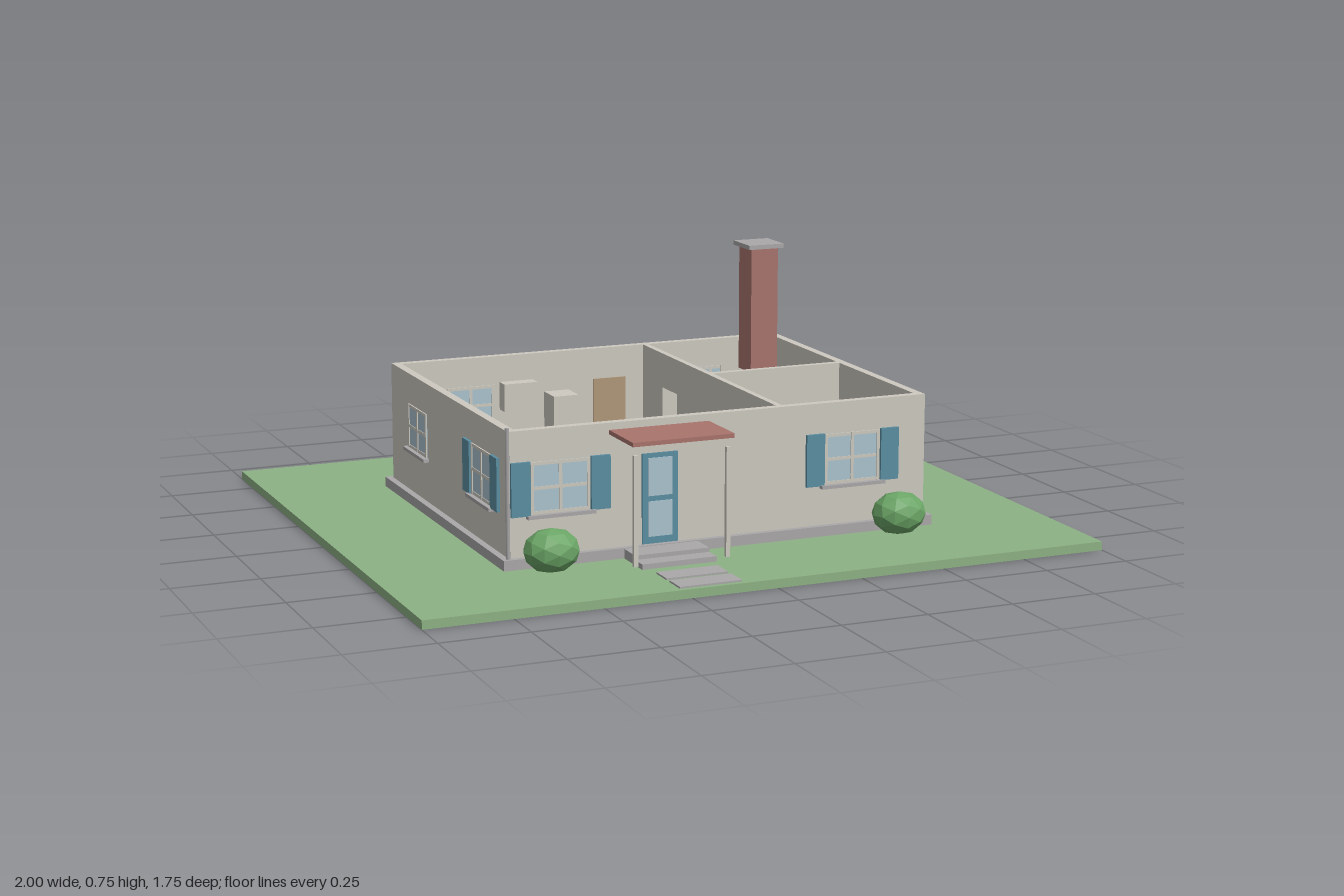
import * as THREE from 'three';

const paint = (name, color) => {
  const m = new THREE.MeshStandardMaterial({ color });
  m.name = name;
  return m;
};

export function createModel() {
  const wall = paint('plaster', 0xcdc9c0), stone = paint('concrete', 0xaaa8a9), grass = paint('grass', 0x8db184),
    brick = paint('brick red', 0xa9746c), teal = paint('teal paint', 0x5b8ea2), glass = paint('pale blue', 0xabc3cf),
    wood = paint('wood', 0xb0987a), fabric = paint('sofa blue', 0x8799bb), dark = paint('dark grey', 0x77777f),
    leaf = paint('foliage', 0x6ba566);
  const house = new THREE.Group();
  house.name = 'house';

  const add = (name, geo, mat, x, y, z, parent = house) => {
    const m = new THREE.Mesh(geo, mat);
    m.name = name;
    m.position.set(x, y, z);
    parent.add(m);
    return m;
  };
  // Box given by its limits on each axis
  const box = (name, mat, x0, x1, y0, y1, z0, z1, parent = house) =>
    add(name, new THREE.BoxGeometry(x1 - x0, y1 - y0, z1 - z0), mat, (x0 + x1) / 2, (y0 + y1) / 2, (z0 + z1) / 2, parent);
  const rod = (name, mat, r0, r1, x, y0, y1, z, sides = 10) =>
    add(name, new THREE.CylinderGeometry(r1, r0, y1 - y0, sides), mat, x, (y0 + y1) / 2, z);
  const group = (name, x, y, z, turn = 0) => {
    const g = new THREE.Group();
    g.name = name;
    g.position.set(x, y, z);
    g.rotation.y = turn;
    house.add(g);
    return g;
  };

  // Ground, foundation and steps
  const F = 0.058, TOP = 0.405;
  box('lawn', grass, -1, 1, 0, 0.025, -0.875, 0.875);
  box('foundation', stone, -0.65, 0.65, 0.025, 0.054, -0.522, 0.522);
  box('frontLanding', stone, -0.3, -0.08, 0.025, 0.052, 0.52, 0.6);
  box('frontStep', stone, -0.3, -0.08, 0.025, 0.04, 0.6, 0.65);
  box('backStep', stone, -0.037, 0.162, 0.025, 0.058, -0.625, -0.52);
  for (const z of [0.7, 0.79]) box('pathStone', stone, -0.28, -0.1, 0.025, 0.03, z, z + 0.07);

  // Floors
  box('kitchenFloor', wall, -0.61, 0.183, 0.05, F, -0.485, 0);
  box('livingFloor', wood, -0.61, 0.183, 0.05, F, 0, 0.485);
  box('bathFloor', glass, 0.183, 0.61, 0.05, F, -0.485, 0);
  box('bedroomFloor', wall, 0.183, 0.61, 0.05, F, 0, 0.485);

  // Outer walls
  for (const s of [-1, 1]) {
    box('longWall', wall, -0.63, 0.63, 0.05, TOP, s * 0.4925 - 0.0125, s * 0.4925 + 0.0125);
    box('sideWall', wall, s * 0.6175 - 0.0125, s * 0.6175 + 0.0125, 0.05, TOP, -0.48, 0.48);
    rod('downpipe', stone, 0.006, 0.006, s * 0.632, 0.054, 0.416, -s * 0.507, 8);
  }

  // Inner walls, with two doorways cut through the long one
  const outline = new THREE.Shape([[-0.48, F], [0.48, F], [0.48, TOP], [-0.48, TOP]].map(p => new THREE.Vector2(...p)));
  for (const c of [-0.27, 0.27])
    outline.holes.push(new THREE.Path([[c - 0.055, F + 0.001], [c - 0.055, 0.3], [c + 0.055, 0.3], [c + 0.055, F + 0.001]].map(p => new THREE.Vector2(...p))));
  const divider = add('roomDivider', new THREE.ExtrudeGeometry(outline, { depth: 0.018, bevelEnabled: false }), wall, 0.174, 0, 0);
  divider.rotation.y = Math.PI / 2;
  box('bedroomDivider', wall, 0.19, 0.606, F, TOP, -0.01, 0.01);

  // Windows: built facing +z around the middle of the wall
  const windowUnit = (x, z, turn, w, h, y, shutters) => {
    const g = group('window', x, y, z, turn), a = w / 2, b = h / 2, t = 0.009, d = 0.0175;
    box('glass', glass, -a, a, -b, b, -0.0145, 0.0145, g);
    for (const c of [-a + t / 2, 0, a - t / 2]) box('upright', wall, c - t / 2, c + t / 2, -b, b, -d, d, g);
    for (const c of [-b + t / 2, 0, b - t / 2]) box('crossBar', wall, -a, a, c - t / 2, c + t / 2, -d + 0.001, d - 0.001, g);
    box('sill', stone, -a - 0.013, a + 0.013, -b - 0.01, -b, 0.01, 0.03, g);
    if (shutters) for (const s of [-1, 1]) {
      const c = s * (a + 0.03);
      box('shutter', teal, c - 0.028, c + 0.028, -b - 0.002, b + 0.003, 0.0125, 0.022, g);
    }
  };
  const Q = Math.PI / 2;
  windowUnit(-0.48, 0.4925, 0, 0.172, 0.145, 0.243, true);
  windowUnit(0.4, 0.4925, 0, 0.172, 0.145, 0.243, true);
  windowUnit(0.6175, 0.227, Q, 0.165, 0.145, 0.243, true);
  windowUnit(0.6175, -0.325, Q, 0.085, 0.068, 0.286, false);
  windowUnit(-0.6175, -0.257, -Q, 0.165, 0.13, 0.25, false);
  windowUnit(-0.6175, 0.3, -Q, 0.165, 0.145, 0.243, true);
  windowUnit(-0.39, -0.4925, 2 * Q, 0.15, 0.12, 0.258, false);
  windowUnit(0.4, -0.4925, 2 * Q, 0.085, 0.068, 0.286, false);

  // Doors: slab through the wall, panes on the outside
  const door = (name, x, z, turn, frame, pane) => {
    const g = group(name, x, 0, z, turn);
    box('slab', frame, -0.053, 0.053, 0.055, 0.31, -0.017, 0.017, g);
    box('lowerPane', pane, -0.036, 0.036, 0.075, 0.175, 0.016, 0.019, g);
    box('upperPane', pane, -0.036, 0.036, 0.19, 0.297, 0.016, 0.019, g);
  };
  door('frontDoor', -0.188, 0.4925, 0, teal, glass);
  door('backDoor', 0.06, -0.4925, 2 * Q, wood, wall);

  // Porch roof and posts
  box('porchRoof', brick, -0.337, -0.04, 0.373, 0.385, 0.5, 0.675);
  for (const x of [-0.325, -0.054]) box('porchPost', wall, x - 0.006, x + 0.006, 0.04, 0.347, 0.656, 0.668);

  // Chimney and outdoor cooling unit
  box('chimney', brick, 0.39, 0.477, 0.36, 0.737, -0.243, -0.155);
  box('chimneyCap', stone, 0.377, 0.49, 0.737, 0.75, -0.256, -0.142);
  box('coolingUnit', wall, -0.22, -0.11, 0.278, 0.342, -0.548, -0.505);
  box('coolingGrille', dark, -0.21, -0.145, 0.288, 0.332, -0.552, -0.547);

  // Bushes
  leaf.flatShading = true;
  for (const x of [-0.53, 0.52])
    add('bush', new THREE.IcosahedronGeometry(0.08, 1), leaf, x, 0.083, 0.567).scale.set(1, 0.78, 0.82);

  // Kitchen
  box('counter', dark, -0.59, -0.19, F, 0.165, -0.48, -0.395);
  box('sink', wall, -0.43, -0.347, 0.163, 0.169, -0.46, -0.41);
  for (const x of [-0.59, -0.297]) box('wallCabinet', wall, x, x + 0.107, 0.24, 0.325, -0.48, -0.437);
  box('fridge', wall, -0.155, -0.075, F, 0.285, -0.475, -0.39);

  // Four-legged pieces
  const legs = (x0, x1, z0, z1, top, t) => {
    for (const x of [x0, x1 - t]) for (const z of [z0, z1 - t]) box('leg', wood, x, x + t, F, top, z, z + t);
  };
  box('diningTable', wood, -0.487, -0.312, 0.148, 0.16, -0.208, -0.1);
  legs(-0.48, -0.319, -0.201, -0.107, 0.148, 0.011);
  for (const x of [-0.464, -0.34]) for (const s of [-1, 1]) {
    const z = -0.154 + s * 0.096;
    box('chairSeat', wood, x - 0.022, x + 0.022, 0.104, 0.112, z - 0.023, z + 0.023);
    legs(x - 0.022, x + 0.022, z - 0.023, z + 0.023, 0.104, 0.007);
    box('chairBack', wood, x - 0.022, x + 0.022, 0.112, 0.18, z + s * 0.019 - 0.004, z + s * 0.019 + 0.004);
  }

  // Living room
  box('rug', brick, -0.578, -0.277, F, 0.061, 0.01, 0.387);
  box('sofaSeat', fabric, -0.33, -0.22, F, 0.11, 0.045, 0.295);
  box('sofaBack', fabric, -0.222, -0.198, F, 0.17, 0.04, 0.305);
  for (const z of [0.03, 0.295]) box('sofaArm', fabric, -0.33, -0.215, F, 0.132, z, z + 0.018);
  box('coffeeTable', wood, -0.47, -0.385, 0.1, 0.11, 0.105, 0.24);
  legs(-0.465, -0.39, 0.11, 0.235, 0.1, 0.009);
  box('mediaStand', wood, -0.595, -0.56, F, 0.115, 0.02, 0.195);
  box('screen', dark, -0.585, -0.575, 0.118, 0.2, 0.035, 0.18);
  rod('floorLampBase', dark, 0.018, 0.018, -0.14, F, 0.063, 0.41);
  rod('floorLampPole', dark, 0.004, 0.004, -0.14, 0.06, 0.25, 0.41, 6);
  add('floorLampGlobe', new THREE.SphereGeometry(0.019, 12, 8), wall, -0.14, 0.262, 0.41);
  rod('plantPot', wood, 0.018, 0.026, 0.097, F, 0.1, 0.42);
  rod('plantStem', wood, 0.006, 0.006, 0.097, 0.1, 0.14, 0.42, 6);
  add('plantCrown', new THREE.IcosahedronGeometry(0.049, 1), leaf, 0.097, 0.175, 0.42);

  // Bedroom
  box('headboard', wood, 0.33, 0.515, F, 0.185, 0.014, 0.027);
  box('bedFrame', wood, 0.333, 0.512, F, 0.088, 0.027, 0.28);
  box('mattress', wall, 0.338, 0.507, 0.088, 0.122, 0.028, 0.274);
  box('blanket', brick, 0.334, 0.511, 0.088, 0.127, 0.125, 0.278);
  for (const x of [0.345, 0.43]) box('pillow', wall, x, x + 0.07, 0.122, 0.136, 0.034, 0.07);
  for (const x of [0.285, 0.562]) {
    box('nightstand', wood, x - 0.026, x + 0.026, F, 0.12, 0.02, 0.068);
    rod('bedsideLampFoot', dark, 0.004, 0.004, x, 0.12, 0.14, 0.044, 6);
    rod('bedsideLampShade', wood, 0.014, 0.009, x, 0.14, 0.165, 0.044);
  }
  box('wardrobe', wood, 0.525, 0.603, F, 0.3, 0.305, 0.457);

  // Bathroom
  box('toiletTank', wall, 0.235, 0.289, 0.1, 0.165, -0.476, -0.45);
  box('toiletBowl', wall, 0.24, 0.284, F, 0.112, -0.452, -0.396);
  box('bathtubBase', wall, 0.38, 0.593, F, 0.075, -0.476, -0.383);
  for (const z of [-0.476, -0.392]) box('bathtubSide', wall, 0.38, 0.593, 0.075, 0.125, z, z + 0.009);
  for (const x of [0.38, 0.584]) box('bathtubEnd', wall, x, x + 0.009, 0.075, 0.125, -0.467, -0.392);
  box('vanity', dark, 0.535, 0.603, F, 0.155, -0.205, -0.1);

  return house;
}
